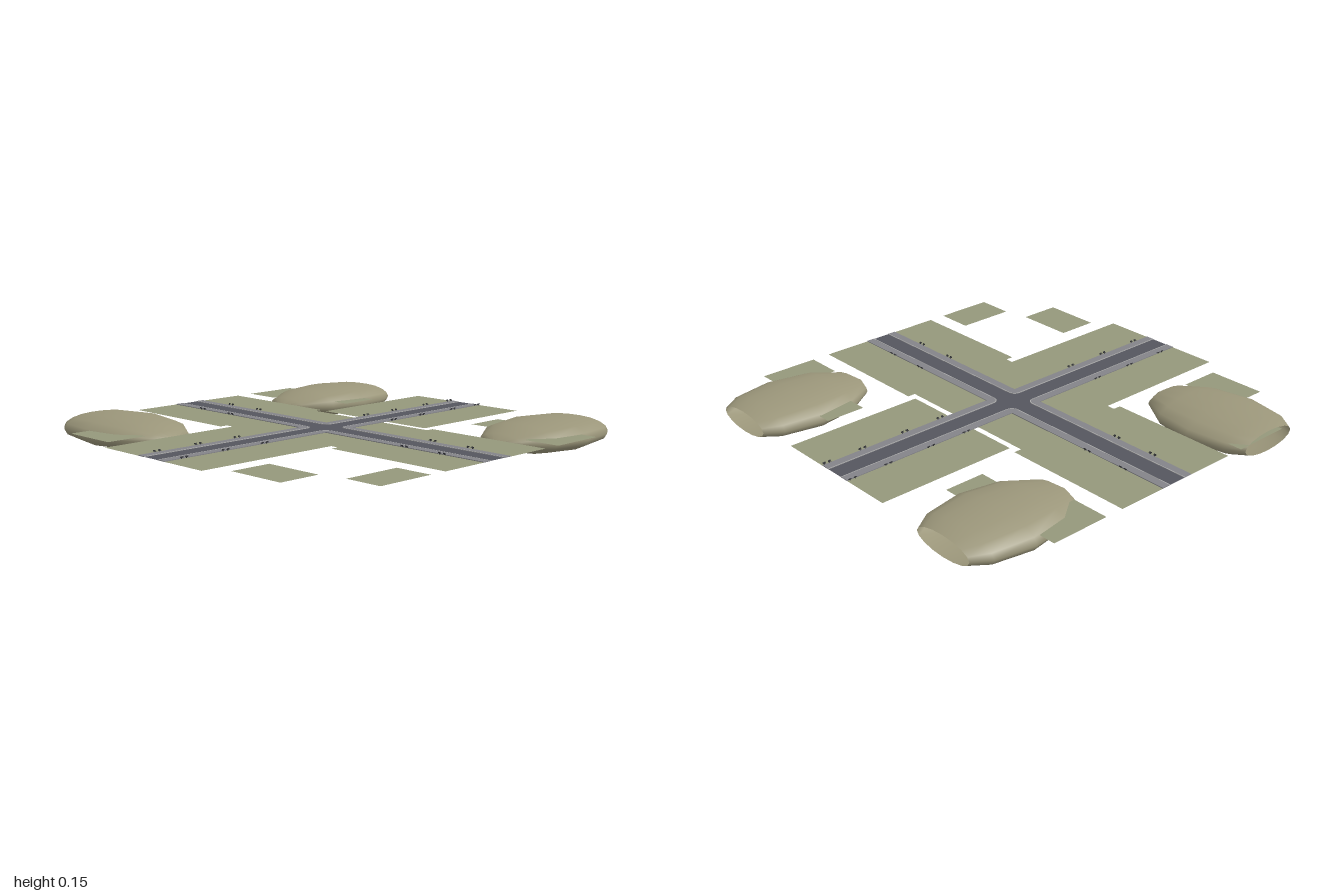
import * as THREE from 'three';

const GROUND = 0.104;
const mat = (color) => new THREE.MeshStandardMaterial({ color, side: THREE.DoubleSide });

export function createModel() {
  const model = new THREE.Group();
  const grass = mat(0x94977b), earth = mat(0x9b967a), asphalt = mat(0x55565e);
  const paving = mat(0x838388), kerbStone = mat(0xa9a9a9), iron = mat(0x35363a);

  const add = (name, geometry, material) => {
    const mesh = new THREE.Mesh(geometry, material);
    mesh.name = name;
    model.add(mesh);
    return mesh;
  };

  // Flat rectangle given by its x and z limits
  const sheet = (name, x0, x1, z0, z1, y, material) => {
    const g = new THREE.PlaneGeometry(x1 - x0, z1 - z0).rotateX(-Math.PI / 2);
    return add(name, g.translate((x0 + x1) / 2, y, (z0 + z1) / 2), material);
  };

  // Lawns: solid centre, and a strip on each side of every road arm
  sheet('centreLawn', -0.365, 0.365, -0.287, 0.287, GROUND, grass);
  for (const s of [-1, 1]) {
    const [a, b] = s < 0 ? [-0.325, -0.085] : [0.085, 0.325];
    sheet('northLawn', a, b, -1, -0.315, GROUND, grass);
    sheet('southLawn', a, b, 0.287, 1, GROUND, grass);
    sheet('westLawn', -1, -0.365, a, b, GROUND, grass);
    sheet('eastLawn', 0.365, 1, a, b, GROUND, grass);
  }

  // Loose lawn patches in the four corners
  for (const [x0, x1, z0, z1] of [
    [0.41, 0.695, 0.72, 0.92], [0.82, 1, 0.41, 0.695],
    [-0.7, -0.415, 0.72, 0.92], [-1, -0.82, 0.41, 0.695],
    [0.41, 0.695, -0.745, -0.55], [0.82, 1, -0.7, -0.415],
    [-0.7, -0.415, -0.745, -0.55], [-1, -0.82, -0.7, -0.415],
  ]) sheet('lawnPatch', x0, x1, z0, z1, GROUND, grass);

  // Crossing roads
  const roadY = GROUND + 0.0008;
  sheet('eastWestRoad', -1, 1, -0.05, 0.05, roadY, asphalt);
  sheet('northRoad', -0.05, 0.05, -1, -0.05, roadY, asphalt);
  sheet('southRoad', -0.05, 0.05, 0.05, 1, roadY, asphalt);
  // Asphalt under the rounded kerb corners
  for (const sx of [-1, 1]) for (const sz of [-1, 1]) {
    sheet('roadCorner', sx * 0.065 - 0.015, sx * 0.065 + 0.015,
      sz * 0.065 - 0.015, sz * 0.065 + 0.015, roadY, asphalt);
  }

  // L-shaped strip between two offsets from the road axes, inner corner rounded
  const cornerStrip = (inner, innerR, outer, outerR, top, depth) => {
    const s = new THREE.Shape();
    s.moveTo(1, inner);
    s.lineTo(inner + innerR, inner);
    s.quadraticCurveTo(inner, inner, inner, inner + innerR);
    s.lineTo(inner, 1);
    s.lineTo(outer, 1);
    s.lineTo(outer, outer + outerR);
    s.quadraticCurveTo(outer, outer, outer + outerR, outer);
    s.lineTo(1, outer);
    s.closePath();
    const g = new THREE.ExtrudeGeometry(s, { depth, bevelEnabled: false, curveSegments: 8 });
    return g.rotateX(Math.PI / 2).translate(0, top, 0);
  };
  const walk = cornerStrip(0.048, 0.036, 0.087, 0.002, GROUND + 0.003, 0.003);
  const kerb = cornerStrip(0.044, 0.04, 0.048, 0.036, GROUND + 0.0035, 0.0035);
  for (let i = 0; i < 4; i++) {
    add('sidewalk', walk, paving).rotation.y = i * Math.PI / 2;
    add('kerb', kerb, kerbStone).rotation.y = i * Math.PI / 2;
  }

  // Small benches along the sidewalks: a seat, a back and two legs
  const bench = (x, z, turn) => {
    const group = new THREE.Group();
    group.name = 'bench';
    const part = (name, w, h, d, px, py, pz) => {
      const m = new THREE.Mesh(new THREE.BoxGeometry(w, h, d), iron);
      m.name = name;
      m.position.set(px, py, pz);
      group.add(m);
    };
    for (const s of [-1, 1]) {
      part('benchSeat', 0.013, 0.0015, 0.006, s * 0.013, 0.005, 0);
      part('benchBack', 0.013, 0.004, 0.0012, s * 0.013, 0.008, 0.003);
      part('benchLeg', 0.0015, 0.005, 0.005, s * 0.013, 0.0025, 0);
    }
    group.position.set(x, GROUND + 0.001, z);
    group.rotation.y = turn;
    model.add(group);
  };
  for (const s of [-1, 1]) {
    for (const z of [-0.975, -0.79, -0.56, -0.36, 0.46, 0.68, 0.9]) bench(s * 0.09, z, s * Math.PI / 2);
    for (const x of [-0.78, -0.57, 0.57, 0.78]) bench(x, s * 0.09, s > 0 ? 0 : Math.PI);
  }

  // Hills: coarse ellipsoids lying on their side, cut open at the outer edge
  const profile = [new THREE.Vector2(0.157, -0.27)];
  for (let i = 4; i >= 0; i--) {
    const t = i * Math.PI / 6;
    profile.push(new THREE.Vector2(0.241 * Math.sin(t), 0.38 * Math.cos(t)));
  }
  const hillGeometry = new THREE.LatheGeometry(profile, 16)
    .rotateX(Math.PI / 2).scale(1, 0.315, 1);
  for (const [x, z, turn] of [[-0.7, -0.73, 0], [0.7, -0.73, 0], [-0.73, 0.6, Math.PI / 2]]) {
    const hill = add('hill', hillGeometry, earth);
    hill.position.set(x, 0.079, z);
    hill.rotation.y = turn;
  }

  return model;
}
